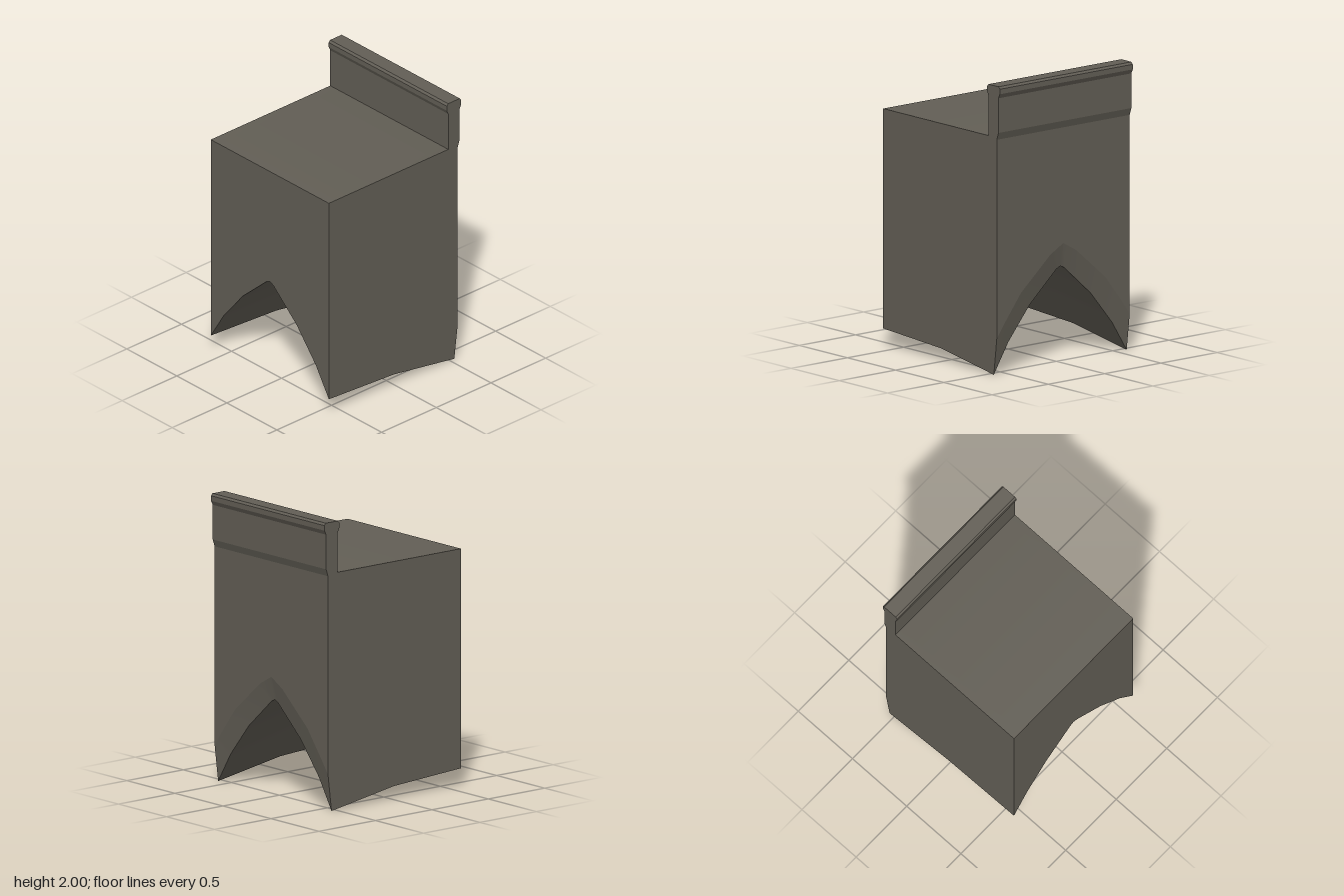
import * as THREE from 'three';
import { toCreasedNormals } from 'three/addons/utils/BufferGeometryUtils.js';

const HALF = 0.59; // half width along z

// Skins a row of closed rings (counter-clockwise seen from +z, ordered by rising z) and caps both ends.
function loft(rings) {
  const pos = [];
  const tri = (a, b, c) => pos.push(...a, ...b, ...c);
  for (let i = 0; i < rings.length - 1; i++) {
    const r = rings[i], s = rings[i + 1], n = r.length;
    for (let j = 0; j < n; j++) {
      const k = (j + 1) % n;
      tri(r[j], r[k], s[k]);
      tri(r[j], s[k], s[j]);
    }
  }
  const first = rings[0], last = rings[rings.length - 1];
  const contour = last.map(([x, y]) => new THREE.Vector2(x, y));
  for (const [a, b, c] of THREE.ShapeUtils.triangulateShape(contour, [])) {
    tri(last[a], last[b], last[c]);
    tri(first[a], first[c], first[b]);
  }
  const geo = new THREE.BufferGeometry();
  geo.setAttribute('position', new THREE.Float32BufferAttribute(pos, 3));
  return toCreasedNormals(geo, 0.2);
}

// Straight profile run across the full width
const run = (profile) => loft([-HALF, HALF].map((z) => profile.map(([x, y]) => [x, y, z])));

export function createModel() {
  const group = new THREE.Group();
  const stone = new THREE.MeshStandardMaterial({ color: 0x625e55 });
  stone.name = 'greyBrownStone';
  const add = (name, geo) => {
    const mesh = new THREE.Mesh(geo, stone);
    mesh.name = name;
    group.add(mesh);
  };

  // Pointed arch: [z, y] of the inner edge, then of the outer edge of its chamfer
  const halfArch = [
    [[0.59, 0], [0.59, 0.255]],
    [[0.46, 0.21], [0.525, 0.345]],
    [[0.27, 0.44], [0.375, 0.54]],
    [[0.035, 0.65], [0.115, 0.765]],
    [[0, 0.667], [0, 0.83]],
  ];
  const mirrored = halfArch.map((pair) => pair.map(([z, y]) => [-z, y]));
  const arch = [...mirrored, ...halfArch.slice(0, -1).reverse()];

  // Block with a vault that rises toward the back end
  add('archBlock', loft(arch.map(([[z, y], [zo, yo]]) => [
    [-0.607, y + 0.125, z],
    [-0.01, y + 0.09, z],
    [0.54, y, z],
    [0.571, yo, zo],
    [0.571, 1.63, zo],
    [0.485, 1.645, zo],
    [-0.607, 1.645, zo],
  ])));

  // Parapet wall with a small corbel at its foot
  add('parapet', run([
    [0.485, 1.645], [0.571, 1.63], [0.588, 1.68], [0.588, 1.92], [0.485, 1.92],
  ]));

  // Coping with chamfered edges
  add('coping', run([
    [0.485, 1.92], [0.588, 1.92], [0.603, 1.95], [0.603, 1.985], [0.59, 2],
    [0.484, 2], [0.471, 1.985], [0.471, 1.95],
  ]));

  return group;
}
